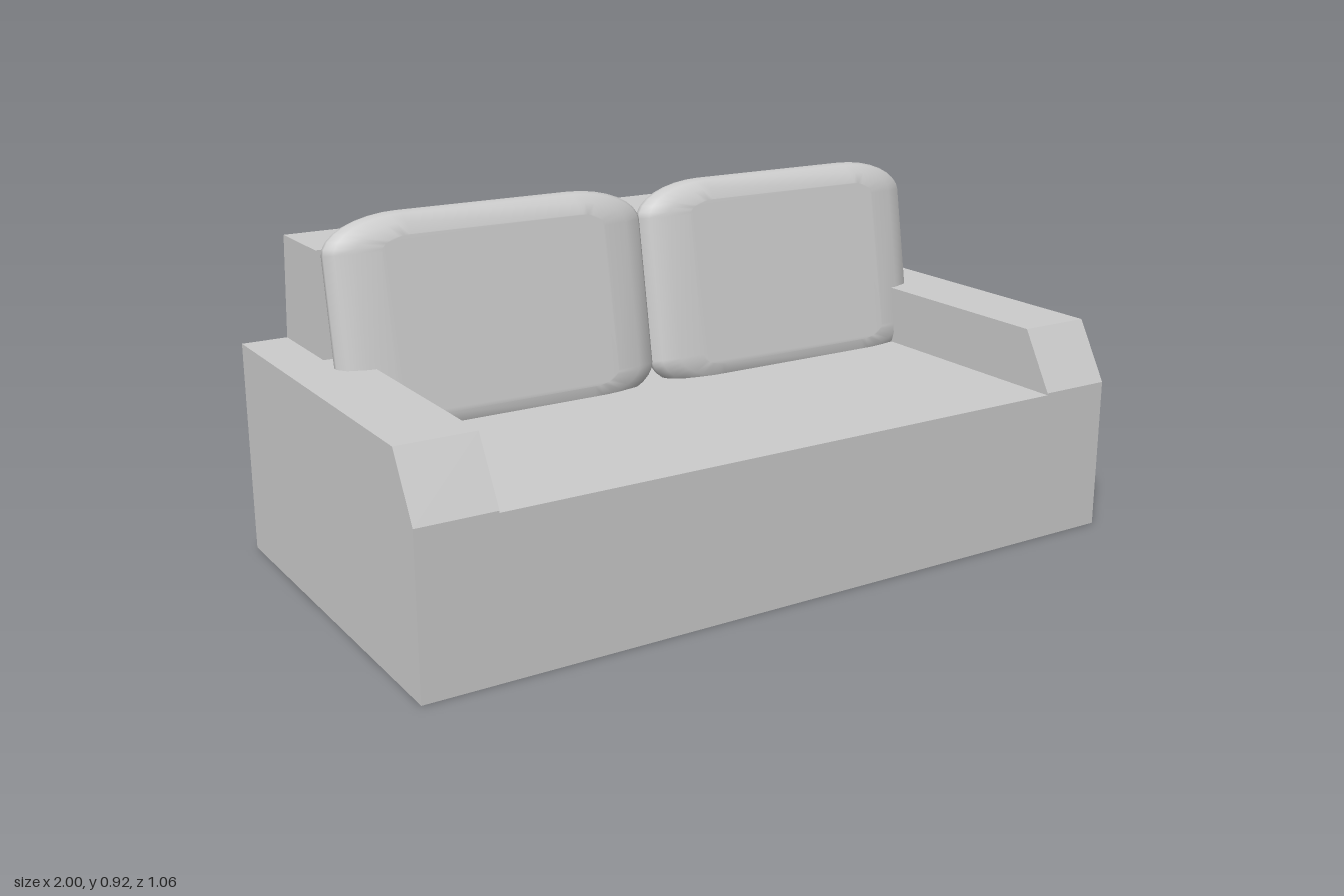
import * as THREE from 'three';
import { mergeVertices } from 'three/addons/utils/BufferGeometryUtils.js';

const material = new THREE.MeshStandardMaterial({ color: 0xcccccc });

// Side profile of [z, y] points, extruded across x around centreX
function prism(name, profile, width, centreX = 0) {
  const shape = new THREE.Shape(profile.map(([z, y]) => new THREE.Vector2(z, y)));
  const geometry = new THREE.ExtrudeGeometry(shape, { depth: width, bevelEnabled: false });
  geometry.rotateY(-Math.PI / 2).translate(centreX + width / 2, 0, 0);
  const mesh = new THREE.Mesh(geometry, material);
  mesh.name = name;
  return mesh;
}

// Soft pillow: bevelled rounded rectangle, stretched sideways so its ends taper gently
function cushionGeometry(width, height, thickness) {
  const stretch = 2.2, bevel = 0.06, round = 0.035, bevelDepth = 0.05;
  const cx = width / stretch / 2 - bevel - round;
  const cy = height / 2 - bevel - round;
  const shape = new THREE.Shape();
  [[1, 1], [-1, 1], [-1, -1], [1, -1]].forEach(([sx, sy], i) => {
    shape.absarc(sx * cx, sy * cy, round, i * Math.PI / 2, (i + 1) * Math.PI / 2, false);
  });
  const depth = thickness - 2 * bevelDepth;
  let geometry = new THREE.ExtrudeGeometry(shape, {
    depth, bevelSize: bevel, bevelThickness: bevelDepth, bevelSegments: 3, curveSegments: 4,
  });
  geometry.translate(0, 0, -depth / 2).scale(stretch, 1, 1);
  geometry.deleteAttribute('uv');
  geometry.deleteAttribute('normal');
  geometry = mergeVertices(geometry, 1e-4);
  geometry.computeVertexNormals();
  return geometry;
}

export function createModel() {
  const sofa = new THREE.Group();
  sofa.name = 'sofa';

  // Seat with the lower part of the back, between the arms
  sofa.add(prism('seat', [
    [0.53, 0], [0.53, 0.4], [-0.262, 0.4], [-0.27, 0.56], [-0.53, 0.56], [-0.53, 0],
  ], 1.6));

  // Upper back, tapering upward and resting on the arms
  sofa.add(prism('backrest', [
    [-0.27, 0.56], [-0.28, 0.835], [-0.505, 0.835], [-0.53, 0.56],
  ], 1.76));

  const pillow = cushionGeometry(0.885, 0.57, 0.115);
  for (const [side, s] of [['left', 1], ['right', -1]]) {
    // Arm with a sloping front edge
    sofa.add(prism(side + 'Arm', [
      [0.53, 0], [0.53, 0.405], [0.44, 0.56], [-0.53, 0.56], [-0.53, 0],
    ], 0.2, s * 0.9));

    // Back cushion leaning against the backrest
    const cushion = new THREE.Mesh(pillow, material);
    cushion.name = side + 'Cushion';
    cushion.position.set(s * 0.4425, 0.64, -0.192);
    cushion.rotation.x = -0.17;
    sofa.add(cushion);
  }
  return sofa;
}
